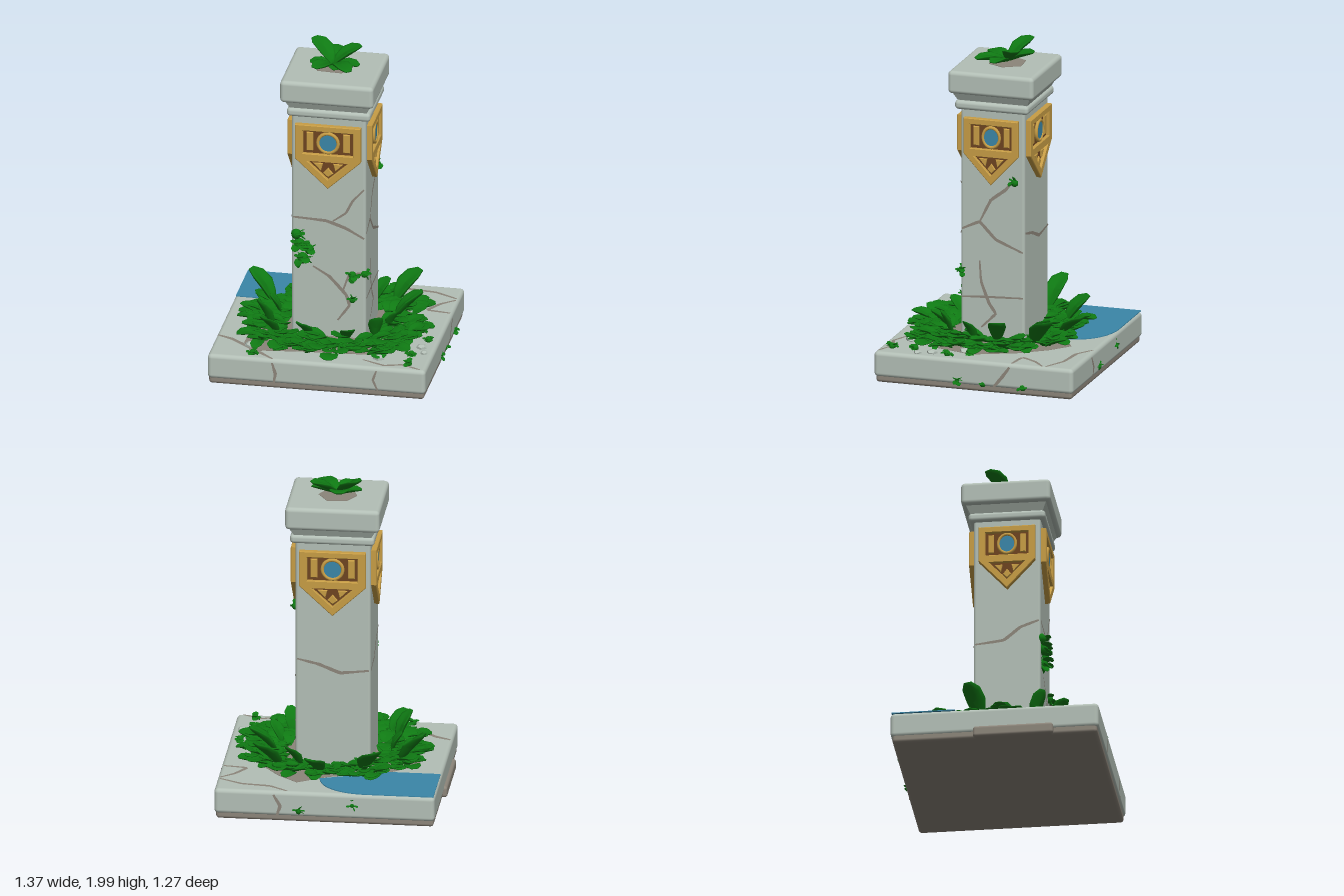
import * as THREE from 'three';
import { mergeGeometries } from 'three/addons/utils/BufferGeometryUtils.js';
import { RoundedBoxGeometry } from 'three/addons/geometries/RoundedBoxGeometry.js';

const mat = (name, color, side = THREE.FrontSide) => {
  const m = new THREE.MeshStandardMaterial({ color, side });
  m.name = name;
  return m;
};
const V = (x, y, z) => new THREE.Vector3(x, y, z);

export function createModel() {
  const stone = mat('pale stone', 0xb3bfb6);
  const dirt = mat('weathered stone', 0x8c857a, THREE.DoubleSide);
  const green = mat('leaf green', 0x0f7a13);
  const gold = mat('gold', 0xc79d45);
  const brown = mat('brown recess', 0x6e4420);
  const blue = mat('blue', 0x3a86a8);

  const model = new THREE.Group();
  model.name = 'stonePillar';
  let seed = 7;
  const rnd = (a = 0, b = 1) => {
    seed = (seed * 16807) % 2147483647;
    return a + (b - a) * seed / 2147483647;
  };
  const add = (name, geo, material, parent = model) => {
    const m = new THREE.Mesh(geo, material);
    m.name = name;
    parent.add(m);
    return m;
  };
  // Rounded block given by its extents
  const block = (name, x0, x1, y0, y1, z0, z1, r, material = stone) =>
    add(name, new RoundedBoxGeometry(x1 - x0, y1 - y0, z1 - z0, 3, r), material)
      .position.set((x0 + x1) / 2, (y0 + y1) / 2, (z0 + z1) / 2);
  const poly = pts => new THREE.Shape(pts.map(p => new THREE.Vector2(p[0], p[1])));

  // Stonework
  block('slabFoot', -0.655, 0.645, 0, 0.07, -0.615, 0.61, 0.02, dirt);
  block('slab', -0.662, 0.655, 0.035, 0.19, -0.625, 0.62, 0.025);
  block('slabChip', -0.682, -0.6, 0.0, 0.07, -0.13, 0.35, 0.018, dirt);
  block('shaft', -0.23, 0.22, 0.15, 1.66, -0.18, 0.22, 0.018);
  block('lowerMoulding', -0.255, 0.25, 1.61, 1.665, -0.21, 0.25, 0.022);
  block('cap', -0.29, 0.275, 1.71, 1.85, -0.25, 0.285, 0.025);
  const cove = add('coveMoulding',
    new THREE.CylinderGeometry(0.265 * Math.SQRT2, 0.23 * Math.SQRT2, 0.065, 4, 1, false, Math.PI / 4).toNonIndexed(), stone);
  cove.geometry.computeVertexNormals();
  cove.scale.z = 0.93;
  cove.position.set(-0.005, 1.692, 0.018);

  // Flat plates lying on the stone: z of the plan becomes -y of the shape
  const plate = (name, shape, y, material) => {
    const m = add(name, new THREE.ExtrudeGeometry(shape, { depth: 0.005, bevelEnabled: false }), material);
    m.rotation.x = -Math.PI / 2;
    m.position.y = y;
  };
  const water = new THREE.Shape();
  water.moveTo(-0.655, 0.618);
  water.lineTo(-0.655, 0.24);
  water.lineTo(-0.35, 0.24);
  water.lineTo(-0.2, 0.3);
  water.lineTo(0.05, 0.39);
  water.bezierCurveTo(0.03, 0.53, -0.08, 0.61, -0.24, 0.618);
  plate('waterPool', water, 0.19, blue);
  plate('soil', poly([[-0.36, 0.23], [-0.52, 0.1], [-0.47, -0.2], [-0.48, -0.4], [-0.42, -0.52], [-0.34, -0.5],
    [-0.1, -0.47], [0.3, -0.44], [0.46, -0.3], [0.53, -0.05], [0.42, 0.2], [0.3, 0.36], [0.18, 0.46], [0, 0.35]]), 0.187, dirt);
  plate('capSoil', poly([[-0.1, -0.09], [0.05, -0.1], [0.1, 0], [0.04, 0.1], [-0.08, 0.09], [-0.13, 0]]), 1.848, dirt);

  // Cracks: tapered ribbons on a face, where at(u, v) gives the surface point
  const faces = {
    front: (u, v) => [u, v, 0.222], back: (u, v) => [u, v, -0.182],
    right: (u, v) => [0.222, v, u], left: (u, v) => [-0.232, v, u],
    slabTop: (u, v) => [u, 0.192, v], slabFront: (u, v) => [u, v, 0.622],
    slabRight: (u, v) => [0.657, v, u], slabBack: (u, v) => [u, v, -0.627],
  };
  const crack = (face, pts, width = 0.014) => {
    const curve = new THREE.CatmullRomCurve3(pts.map(p => V(p[0], p[1], 0)), false, 'catmullrom', 0.1);
    const n = 16, pos = [], idx = [];
    for (let i = 0; i <= n; i++) {
      const p = curve.getPoint(i / n), t = curve.getTangent(i / n);
      const w = width * (0.3 + 0.35 * Math.sin(Math.PI * i / n) + rnd(0, 0.15));
      pos.push(...faces[face](p.x - t.y * w, p.y + t.x * w), ...faces[face](p.x + t.y * w, p.y - t.x * w));
      if (i < n) idx.push(2 * i, 2 * i + 1, 2 * i + 2, 2 * i + 1, 2 * i + 3, 2 * i + 2);
    }
    const g = new THREE.BufferGeometry();
    g.setAttribute('position', new THREE.Float32BufferAttribute(pos, 3));
    g.setIndex(idx);
    g.computeVertexNormals();
    add(face + 'Crack', g, dirt);
  };
  crack('front', [[-0.22, 0.95], [-0.02, 0.94], [0.1, 0.9], [0.21, 0.84]]);
  crack('front', [[0.02, 0.94], [0.1, 1.0], [0.14, 1.08], [0.21, 1.16]], 0.01);
  crack('front', [[-0.1, 0.64], [0, 0.58], [0.1, 0.47], [0.12, 0.4], [0.05, 0.3]]);
  crack('front', [[0.08, 0.49], [0.12, 0.6], [0.21, 0.62]], 0.01);
  crack('right', [[0.21, 0.87], [0.1, 0.92], [0, 0.82], [-0.17, 0.75]]);
  crack('right', [[0.1, 0.92], [0.03, 1.06], [-0.06, 1.13], [-0.1, 1.18]]);
  crack('right', [[0.1, 0.68], [0.09, 0.55], [0.04, 0.42], [0.0, 0.36], [0.09, 0.27]]);
  crack('right', [[0.21, 0.45], [0.06, 0.46], [-0.17, 0.47]], 0.01);
  crack('back', [[0.21, 0.87], [0.08, 0.84], [-0.05, 0.79], [-0.22, 0.81]]);
  crack('left', [[-0.17, 0.81], [0, 0.83], [0.1, 0.91], [0.21, 0.95]]);
  crack('slabTop', [[0.22, -0.61], [0.33, -0.54], [0.5, -0.52], [0.64, -0.45]], 0.016);
  crack('slabTop', [[0.64, -0.43], [0.56, -0.36], [0.5, -0.26], [0.64, -0.24]], 0.016);
  crack('slabTop', [[-0.65, 0.33], [-0.56, 0.37], [-0.4, 0.5], [-0.27, 0.61]], 0.02);
  crack('slabTop', [[0.26, 0.52], [0.4, 0.58], [0.5, 0.55], [0.62, 0.6]], 0.014);
  crack('slabFront', [[-0.27, 0.17], [-0.25, 0.1], [-0.26, 0.04]]);
  crack('slabFront', [[0.36, 0.17], [0.34, 0.11], [0.37, 0.04]], 0.01);
  crack('slabRight', [[-0.23, 0.17], [-0.18, 0.1], [-0.13, 0.04]]);
  crack('slabBack', [[0.3, 0.17], [0.26, 0.1], [0.28, 0.04]]);

  // Emblems on the four faces, built facing +z
  const outline = k => [[-0.195 + k, 1.56 - k], [-0.195 + k, 1.345], [0, 1.165 + k * 1.4], [0.195 - k, 1.345], [0.195 - k, 1.56 - k]];
  const relief = (name, shape, depth, z, material, parent) => {
    const m = add(name, new THREE.ExtrudeGeometry(shape, {
      depth, bevelThickness: 0.004, bevelSize: 0.004, bevelSegments: 1, curveSegments: 12 }), material, parent);
    m.position.z = z;
  };
  const emblem = (name, x, z, turn, sx) => {
    const g = new THREE.Group();
    g.name = name;
    relief('emblemBack', poly(outline(0.012)), 0.01, -0.004, brown, g);
    const frame = poly(outline(0));
    frame.holes.push(poly([[-0.155, 1.375], [0.155, 1.375], [0.155, 1.53], [-0.155, 1.53]]));
    frame.holes.push(poly([[-0.13, 1.333], [0, 1.213], [0.13, 1.333]]));
    relief('emblemFrame', frame, 0.027, 0, gold, g);
    for (const s of [-1, 1]) {
      relief('sidePanel', poly([[s * 0.095, 1.4], [s * 0.128, 1.4], [s * 0.128, 1.51], [s * 0.095, 1.51]]), 0.012, 0.004, gold, g);
      relief('lowerStud', poly([[s * 0.035, 1.315], [s * 0.085, 1.315], [s * 0.045, 1.275]]), 0.012, 0.004, gold, g);
    }
    relief('lowerPoint', poly([[0, 1.285], [-0.025, 1.255], [0, 1.235], [0.025, 1.255]]), 0.012, 0.004, gold, g);
    const ring = add('gemRing', new THREE.TorusGeometry(0.061, 0.011, 8, 20), gold, g);
    ring.position.set(0, 1.452, 0.018);
    const gem = add('gem', new THREE.CylinderGeometry(0.052, 0.058, 0.016, 20), blue, g);
    gem.rotation.x = Math.PI / 2;
    gem.position.set(0, 1.452, 0.014);
    g.position.set(x, 0, z);
    g.rotation.y = turn;
    g.scale.x = sx;
    model.add(g);
  };
  emblem('frontEmblem', -0.005, 0.22, 0, 1);
  emblem('backEmblem', -0.005, -0.18, Math.PI, 1);
  emblem('rightEmblem', 0.22, 0.022, Math.PI / 2, 0.85);
  emblem('leftEmblem', -0.23, 0.022, -Math.PI / 2, 0.85);

  // One cupped leaf running from the origin along +z, unit length and width
  const leafGeo = new THREE.SphereGeometry(0.5, 10, 7);
  const lp = leafGeo.attributes.position;
  for (let i = 0; i < lp.count; i++) {
    const x = lp.getX(i), z = lp.getZ(i) + 0.5;
    lp.setXYZ(i, x * (0.65 + 0.5 * z), lp.getY(i) * 0.14 + 0.45 * x * x - 0.22 * z * z + 0.22 * z, z);
  }
  leafGeo.computeVertexNormals();
  const leaf = (from, to, width) => {
    const dir = to.clone().sub(from), len = dir.length(), zA = dir.normalize();
    const up = Math.abs(zA.y) > 0.95 ? V(0, 0, 1) : V(0, 1, 0);
    const xA = up.cross(zA).normalize(), yA = zA.clone().cross(xA);
    const m = new THREE.Matrix4().makeBasis(xA.multiplyScalar(width), yA.multiplyScalar(len), zA.multiplyScalar(len));
    return leafGeo.clone().applyMatrix4(m.setPosition(from));
  };
  const foliage = (name, leaves) => add(name, mergeGeometries(leaves), green);

  // Leaf bed around the shaft, open over the pool corner
  const bed = [];
  for (let i = 0; i < 330; i++) {
    const a = i * 2.39996, c = Math.cos(a), s = Math.sin(a);
    const R = Math.pow(Math.abs(c) ** 3 + Math.abs(s) ** 3, -1 / 3) * rnd(0.57, 1);
    const from = V(c * R * 0.48, rnd(0.195, 0.225), 0.035 + s * R * (s < 0 ? 0.42 : 0.46));
    if (from.x < -0.3 && from.z < -0.2) continue;
    const turn = a + rnd(-1.6, 1.6), len = rnd(0.08, 0.14);
    bed.push(leaf(from, V(from.x + Math.cos(turn) * len, from.y + rnd(0, 0.055), from.z + Math.sin(turn) * len), rnd(0.08, 0.13)));
  }
  foliage('leafBed', bed);

  // Taller leaves rising out of the bed: from x, z to x, y, z, with width
  foliage('tallLeaves', [
    [-0.4, -0.12, -0.56, 0.42, -0.18, 0.14], [-0.2, -0.3, -0.29, 0.38, -0.42, 0.16], [0.3, -0.27, 0.44, 0.4, -0.4, 0.15],
    [0.34, -0.05, 0.51, 0.39, -0.1, 0.12], [0.05, -0.35, 0.1, 0.35, -0.51, 0.13], [-0.35, 0.2, -0.43, 0.41, 0.26, 0.1],
    [0.28, 0.25, 0.31, 0.38, 0.32, 0.1], [-0.3, 0.3, -0.38, 0.36, 0.4, 0.11], [0.33, 0.1, 0.4, 0.35, 0.14, 0.1],
    [-0.1, 0.3, -0.16, 0.34, 0.4, 0.1], [0.12, 0.32, 0.16, 0.33, 0.43, 0.1], [-0.33, 0.02, -0.4, 0.35, 0.03, 0.1],
    [0, 0.45, -0.01, 0.27, 0.6, 0.13], [0.18, -0.25, 0.26, 0.36, -0.33, 0.11],
  ].map(([x, z, tx, ty, tz, w]) => leaf(V(x, 0.22, z), V(tx, ty, tz), w)));

  // Plant on the cap
  foliage('capPlant', [
    [-0.16, 1.985, -0.11, 0.13], [0.14, 1.96, -0.09, 0.12], [0.11, 1.89, 0.17, 0.11], [-0.11, 1.89, 0.15, 0.12],
    [-0.04, 1.92, -0.16, 0.13], [0.15, 1.885, 0.05, 0.1], [-0.16, 1.88, 0.03, 0.09], [0.02, 1.88, 0.13, 0.09],
  ].map(([x, y, z, w]) => leaf(V(-0.02, 1.86, 0), V(x, y, z), w)));

  // Small tufts growing on the stone
  const tuft = (x, y, z, n, size) => {
    const p = V(x, y, z), leaves = [new THREE.SphereGeometry(size * 0.5, 8, 6).translate(x, y, z)];
    for (let i = 0; i < n; i++) {
      const d = V(rnd(-1, 1), rnd(-0.6, 0.6), rnd(-1, 1)).normalize().multiplyScalar(size);
      leaves.push(leaf(p, p.clone().add(d), size * 0.9));
    }
    return leaves;
  };
  foliage('shaftVine', [...tuft(-0.16, 0.69, 0.225, 9, 0.07), ...tuft(-0.12, 0.75, 0.23, 7, 0.06),
    ...tuft(-0.18, 0.78, 0.225, 9, 0.07), ...tuft(-0.2, 0.84, 0.22, 6, 0.065)]);
  foliage('shaftTufts', [...tuft(0.14, 0.6, 0.225, 6, 0.05), ...tuft(0.21, 0.61, 0.215, 6, 0.045),
    ...tuft(0.14, 0.44, 0.225, 6, 0.04), ...tuft(0.225, 1.18, -0.12, 8, 0.045)]);
  const spots = [[0.64, 0.06, 0.1], [0.64, 0.05, -0.06], [0.645, 0.05, -0.31], [0.15, 0.07, -0.615], [-0.17, 0.12, -0.61],
    [0.53, 0.205, 0.06], [0.59, 0.2, 0.18], [0.53, 0.2, 0.4], [0.54, 0.2, 0.54], [-0.4, 0.2, 0.56], [0.46, 0.2, 0.3]];
  foliage('slabTufts', spots.flatMap(([x, y, z]) => tuft(x, y, z, 7, 0.042)));

  // Loose chips on the slab
  for (const [x, z, r] of [[0.57, 0.28, 0.035], [0.6, 0.36, 0.025], [0.48, 0.1, 0.04], [0.35, 0.48, 0.04], [-0.43, 0.44, 0.04]]) {
    const chip = add('stoneChip', new THREE.DodecahedronGeometry(r), stone);
    chip.scale.y = 0.5;
    chip.position.set(x, 0.195, z);
  }
  return model;
}
